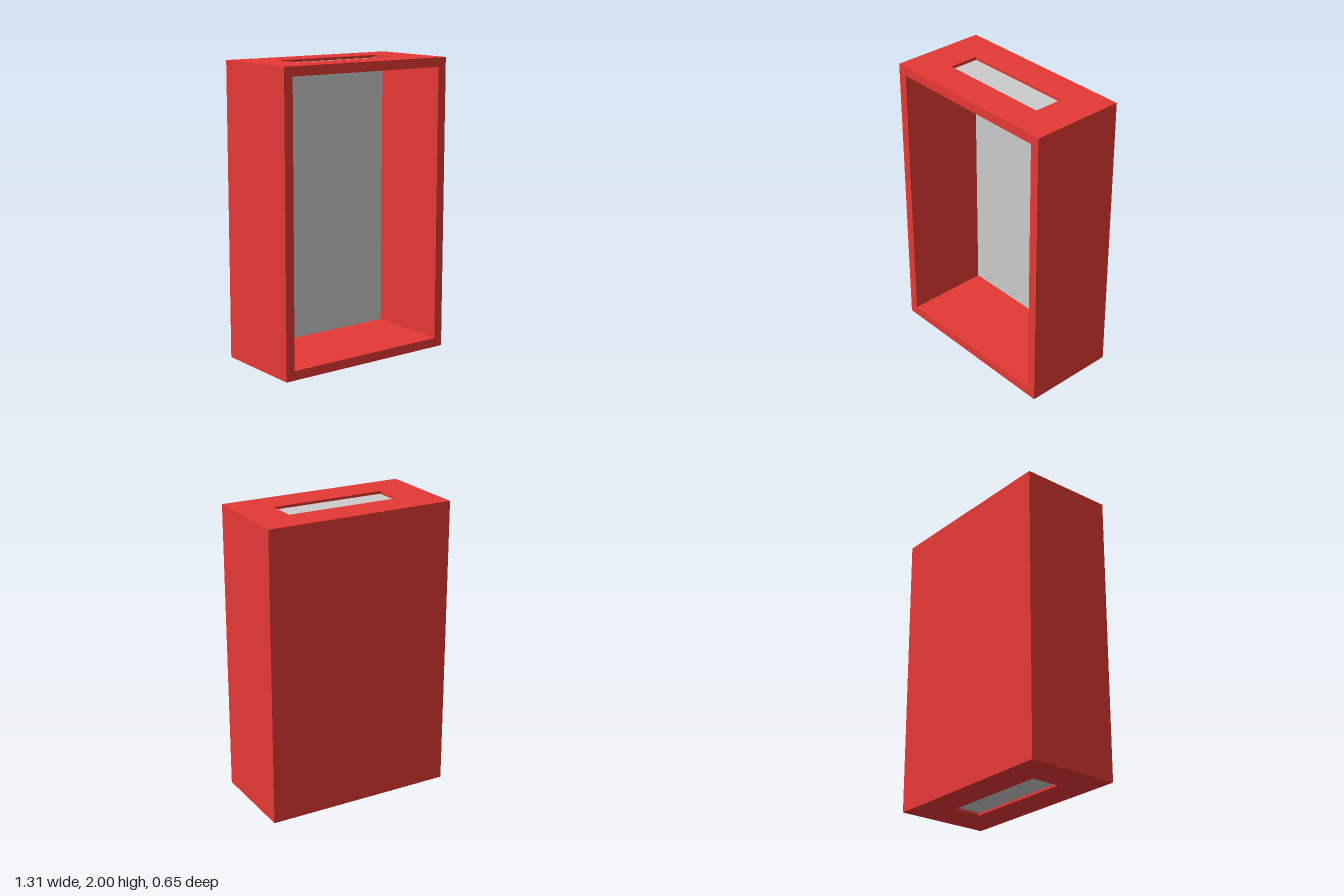
import * as THREE from 'three';

const W = 1.31, H = 2, D = 0.655, T = 0.063; // outer size and wall thickness
const SLOT_X = 0.398, SLOT_Z = 0.103, SLOT_DEPTH = 0.02;

const red = new THREE.MeshStandardMaterial({ color: 0xe53935 });
const grey = new THREE.MeshStandardMaterial({ color: 0xcccccc });

function box(name, material, w, h, d, x, y, z) {
  const mesh = new THREE.Mesh(new THREE.BoxGeometry(w, h, d), material);
  mesh.name = name;
  mesh.position.set(x, y, z);
  return mesh;
}

function rectangle(PathType, hx, hy) {
  return new PathType([[-hx, -hy], [hx, -hy], [hx, hy], [-hx, hy]].map(([x, y]) => new THREE.Vector2(x, y)));
}

// End wall lying at y = 0 with its recessed slot facing up
function endWall(name) {
  const wall = new THREE.Group();
  wall.name = name;
  const inner = T - SLOT_DEPTH;
  wall.add(box('endBoard', red, W, inner, D, 0, -SLOT_DEPTH - inner / 2, 0));

  const outline = rectangle(THREE.Shape, W / 2, D / 2);
  outline.holes.push(rectangle(THREE.Path, SLOT_X, SLOT_Z));
  const geometry = new THREE.ExtrudeGeometry(outline, { depth: SLOT_DEPTH, bevelEnabled: false });
  geometry.rotateX(-Math.PI / 2).translate(0, -SLOT_DEPTH, 0);
  const rim = new THREE.Mesh(geometry, red);
  rim.name = 'slotRim';
  wall.add(rim);

  // Grey slot floor, a little shorter than the opening
  wall.add(box('slotFloor', grey, 2 * SLOT_X - 0.012, 0.004, 2 * SLOT_Z, 0, -SLOT_DEPTH, 0));
  return wall;
}

export function createModel() {
  const model = new THREE.Group();
  model.name = 'openCase';

  // Top and bottom walls
  const top = endWall('topWall');
  top.position.y = H;
  const bottom = endWall('bottomWall');
  bottom.rotation.x = Math.PI;
  model.add(top, bottom);

  // Side walls
  for (const [name, side] of [['leftWall', 1], ['rightWall', -1]]) {
    model.add(box(name, red, T, H - 2 * T, D, side * (W - T) / 2, H / 2, 0));
  }

  // Back wall with a grey lining on its inside
  model.add(box('backWall', red, W - 2 * T, H - 2 * T, T, 0, H / 2, (T - D) / 2));
  model.add(box('backLining', grey, W - 2 * T, H - 2 * T, 0.004, 0, H / 2, T - D / 2));
  return model;
}
